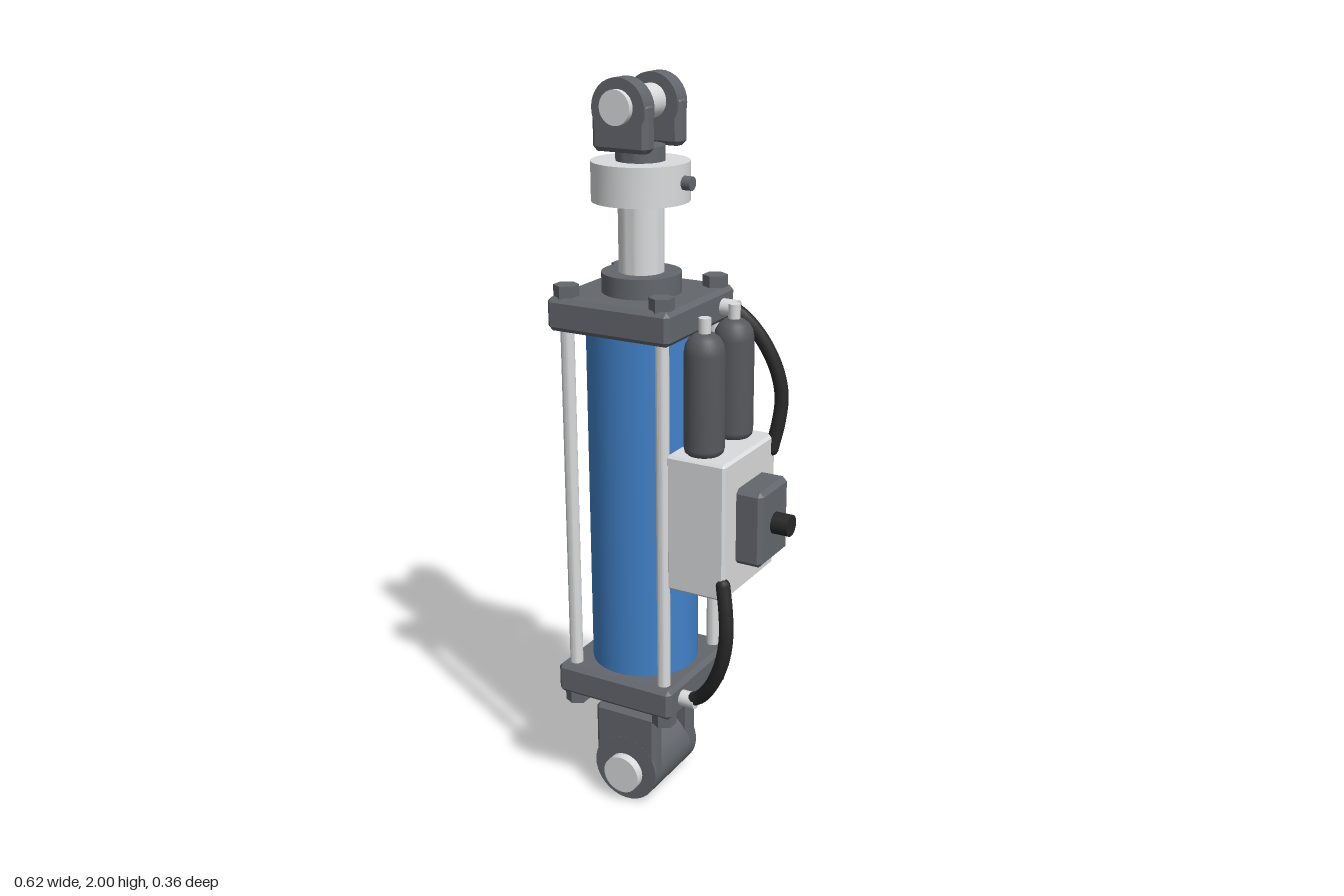
import * as THREE from 'three';
import { toCreasedNormals } from 'three/addons/utils/BufferGeometryUtils.js';
import { ConvexGeometry } from 'three/addons/geometries/ConvexGeometry.js';

const mat = (name, color) => {
  const m = new THREE.MeshStandardMaterial({ color });
  m.name = name;
  return m;
};

export function createModel() {
  const castIron = mat('cast iron grey', 0x63676d);
  const bottleGrey = mat('bottle grey', 0x56585d);
  const steel = mat('light steel', 0xdadbdc);
  const blue = mat('barrel blue', 0x4181c8);
  const rubber = mat('black rubber', 0x282829);

  const model = new THREE.Group();
  model.name = 'hydraulicCylinder';
  const cylinder = new THREE.Group(); // everything on the cylinder's own axis
  cylinder.name = 'cylinderAssembly';
  cylinder.position.x = -0.131;
  model.add(cylinder);

  function add(parent, name, geometry, material, x = 0, y = 0, z = 0) {
    const mesh = new THREE.Mesh(geometry, material);
    mesh.name = name;
    mesh.position.set(x, y, z);
    parent.add(mesh);
    return mesh;
  }

  // Upright cylinder between two heights
  function post(name, r, y0, y1, material, x = 0, z = 0, sides = 40) {
    const g = toCreasedNormals(new THREE.CylinderGeometry(r, r, y1 - y0, sides), 0.6);
    return add(cylinder, name, g, material, x, (y0 + y1) / 2, z);
  }

  // Cylinder lying along x or z
  function bar(parent, name, r, length, axis, material, x, y, z, sides = 32) {
    const g = new THREE.CylinderGeometry(r, r, length, sides);
    if (axis === 'x') g.rotateZ(-Math.PI / 2);
    else g.rotateX(Math.PI / 2);
    return add(parent, name, g, material, x, y, z);
  }

  // Box with all edges chamfered by c
  function chamferBox(w, h, d, c) {
    const points = [];
    for (const sx of [-1, 1]) for (const sy of [-1, 1]) for (const sz of [-1, 1])
      for (let k = 0; k < 3; k++) {
        const inset = [c, c, c];
        inset[k] = 0;
        points.push(new THREE.Vector3(
          sx * (w / 2 - inset[0]), sy * (h / 2 - inset[1]), sz * (d / 2 - inset[2])));
      }
    return new ConvexGeometry(points);
  }

  // Barrel and end plates
  post('barrel', 0.147, 0.40, 1.38, blue, 0, 0, 48);
  const plate = chamferBox(0.358, 0.088, 0.358, 0.012);
  add(cylinder, 'topPlate', plate, castIron, 0, 1.412, 0);
  add(cylinder, 'bottomPlate', plate, castIron, 0, 0.369, 0);

  // Tie rods with hexagonal nuts
  for (const x of [-0.14, 0.14]) for (const z of [-0.14, 0.14]) {
    post('tieRod', 0.018, 0.38, 1.40, steel, x, z, 20);
    post('topNut', 0.033, 1.45, 1.486, castIron, x, z, 6);
    post('bottomNut', 0.033, 0.294, 0.33, castIron, x, z, 6);
  }

  // Piston rod, gland and collar
  post('gland', 0.104, 1.45, 1.508, castIron);
  post('pistonRod', 0.059, 1.50, 1.70, steel);
  post('collar', 0.126, 1.69, 1.79, steel, 0, 0, 48);
  bar(cylinder, 'setScrew', 0.018, 0.05, 'x', castIron, 0.124, 1.743, 0, 16);

  // Upper clevis: chamfered ears with round tops
  post('upperNeck', 0.063, 1.785, 1.828, castIron);
  const upperEar = chamferBox(0.158, 0.122, 0.05, 0.012);
  for (const z of [-0.081, 0.081]) {
    add(cylinder, 'upperEar', upperEar, castIron, 0, 1.881, z);
    bar(cylinder, 'upperEarRound', 0.075, 0.05, 'z', castIron, 0, 1.925, z);
  }
  bar(cylinder, 'upperPin', 0.043, 0.244, 'z', steel, 0, 1.93, 0);

  // Lower clevis: chamfered ears on a cross barrel
  post('lowerNeck', 0.088, 0.245, 0.33, castIron);
  const lowerEar = chamferBox(0.196, 0.196, 0.046, 0.012);
  for (const z of [-0.095, 0.095]) add(cylinder, 'lowerEar', lowerEar, castIron, 0, 0.183, z);
  bar(cylinder, 'crossBarrel', 0.098, 0.237, 'z', castIron, 0, 0.098, 0, 40);
  bar(cylinder, 'lowerPin', 0.055, 0.288, 'z', steel, 0, 0.088, 0);

  // Valve block, control box and knob
  add(model, 'valveBlock', chamferBox(0.17, 0.375, 0.29, 0.007), steel, 0.105, 0.889, 0);
  add(model, 'controlBox', chamferBox(0.086, 0.208, 0.158, 0.012), castIron, 0.22, 0.888, 0);
  bar(model, 'knob', 0.029, 0.058, 'x', rubber, 0.281, 0.888, 0, 24);

  // Pressure bottles with valve stems
  const profile = [[0, 0], [0.04, 0], [0.05, 0.01], [0.053, 0.022], [0.053, 0.27],
    [0.049, 0.292], [0.039, 0.309], [0.024, 0.32], [0, 0.324]]
    .map(([r, y]) => new THREE.Vector2(r, y));
  const bottle = new THREE.LatheGeometry(profile, 32);
  const stem = new THREE.CylinderGeometry(0.016, 0.016, 0.05, 16);
  for (const z of [-0.08, 0.08]) {
    add(model, 'pressureBottle', bottle, bottleGrey, 0.097, 1.072, z);
    add(model, 'bottleStem', stem, steel, 0.097, 1.407, z);
  }

  // Hoses and fittings: the lower set is the upper one turned half round about x
  const path = new THREE.CatmullRomCurve3([
    [0.075, 1.41, -0.11], [0.105, 1.392, -0.115], [0.15, 1.335, -0.132], [0.187, 1.255, -0.147],
    [0.202, 1.18, -0.152], [0.198, 1.11, -0.146], [0.184, 1.035, -0.136],
  ].map(([x, y, z]) => new THREE.Vector3(x, y - 0.89, z)));
  const hose = new THREE.TubeGeometry(path, 40, 0.019, 12, false);
  for (const name of ['upperHose', 'lowerHose']) {
    const set = new THREE.Group();
    set.name = name + 'Set';
    set.position.y = 0.89;
    if (name === 'lowerHose') set.rotation.x = Math.PI;
    add(set, name, hose, rubber);
    bar(set, 'hoseFitting', 0.022, 0.055, 'x', steel, 0.065, 0.521, -0.11, 20);
    // Rounded plug closing the free end of the hose
    add(set, 'hoseEnd', new THREE.SphereGeometry(0.019, 12, 8), rubber, 0.184, 0.145, -0.136);
    model.add(set);
  }
  return model;
}
